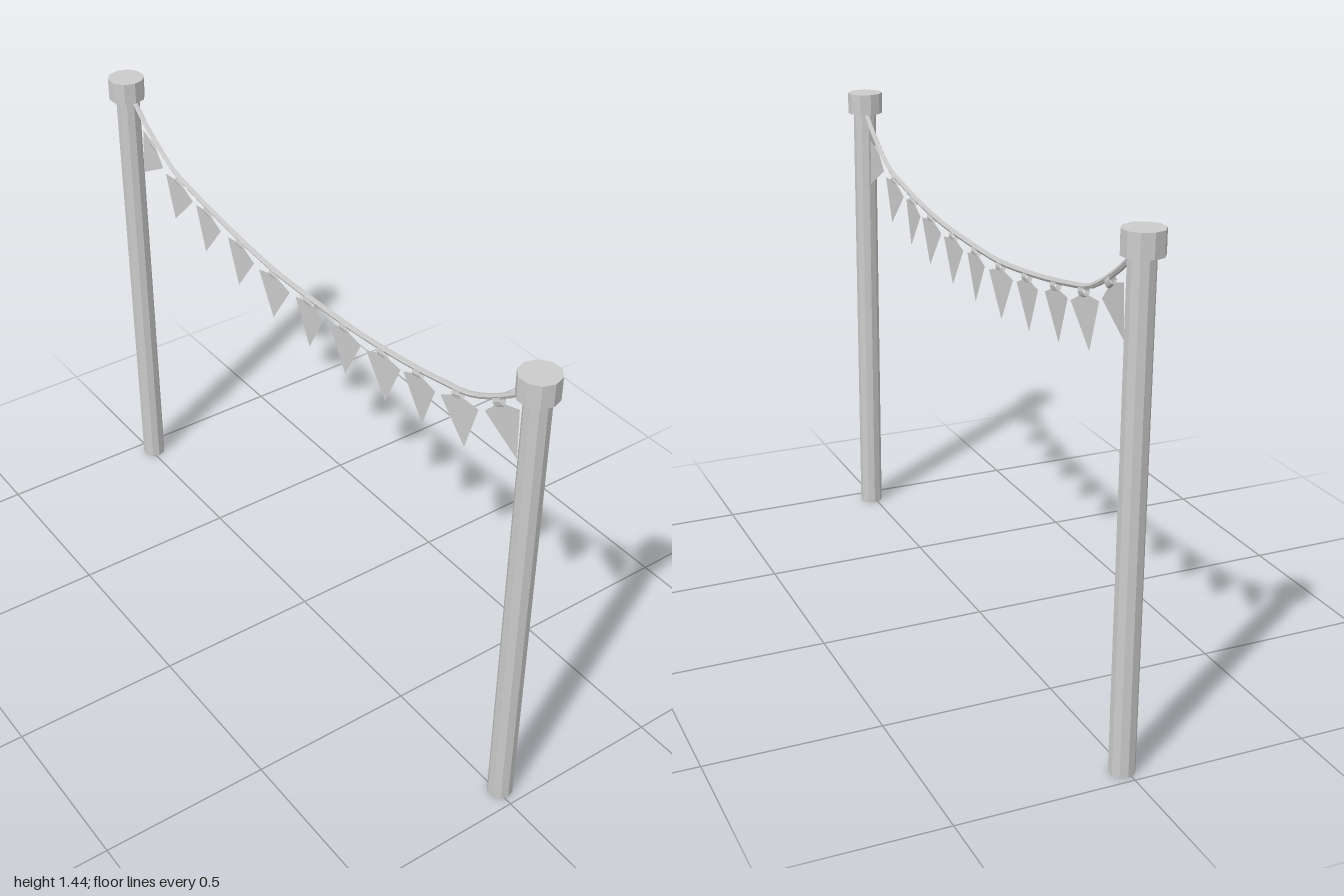
import * as THREE from 'three';

const grey = new THREE.MeshStandardMaterial({ color: 0xcccccc, flatShading: true });
const cloth = new THREE.MeshStandardMaterial({ color: 0xcccccc, flatShading: true, side: THREE.DoubleSide });

function mesh(name, geometry, material = grey) {
  const m = new THREE.Mesh(geometry, material);
  m.name = name;
  return m;
}

// Slightly leaning ten-sided post with a wider cap
function makePost(name, z, lean) {
  const post = new THREE.Group();
  post.name = name;
  const shaft = new THREE.CylinderGeometry(0.036, 0.036, 1.4, 10).translate(0, 0.7, 0);
  const p = shaft.attributes.position;
  for (let i = 0; i < p.count; i++) {
    const t = p.getY(i) / 1.4;
    p.setX(i, p.getX(i) + 0.011 * (1 - t));
    p.setZ(i, p.getZ(i) - lean * (1 - t));
  }
  shaft.computeVertexNormals();
  const cap = mesh('postCap', new THREE.CylinderGeometry(0.055, 0.055, 0.065, 10));
  cap.position.set(-0.002, 1.403, 0);
  post.add(mesh('postShaft', shaft), cap);
  post.position.z = z;
  return post;
}

// Kite-shaped pennant hung from a small loop, with its origin on the rope
function makePennant(twist) {
  const pennant = new THREE.Group();
  pennant.name = 'pennant';
  const shape = new THREE.Shape([[0, -0.162], [0.072, -0.036], [0, -0.016], [-0.072, -0.036]]
    .map(([x, y]) => new THREE.Vector2(x, y)));
  const flag = mesh('flag', new THREE.ShapeGeometry(shape), cloth);
  flag.rotation.y = Math.PI / 2 + twist;
  const loop = mesh('flagLoop', new THREE.CylinderGeometry(0.013, 0.013, 0.03, 8, 1, true), cloth);
  loop.rotation.x = Math.PI / 2;
  loop.scale.set(0.75, 1, 1.1);
  loop.position.y = -0.012;
  pennant.add(flag, loop);
  return pennant;
}

export function createModel() {
  const model = new THREE.Group();
  model.name = 'buntingBetweenPosts';
  model.add(makePost('frontPost', 0.946, 0.005), makePost('backPost', -0.945, 0.003));

  // Sagging rope
  const curve = new THREE.CatmullRomCurve3([
    [0.94, 1.4], [0.912, 1.367], [0.865, 1.324], [0.714, 1.234], [0.596, 1.206], [0.463, 1.182],
    [0.25, 1.158], [0.01, 1.149], [-0.15, 1.149], [-0.25, 1.157], [-0.446, 1.181], [-0.596, 1.206],
    [-0.7, 1.23], [-0.862, 1.324], [-0.91, 1.367], [-0.94, 1.4],
  ].map(([z, y]) => new THREE.Vector3(0.004, y, z)));
  model.add(mesh('rope', new THREE.TubeGeometry(curve, 48, 0.008, 6)));

  // Pennants hang square to the rope
  const samples = curve.getSpacedPoints(400);
  const places = [0.808, 0.663, 0.505, 0.353, 0.184, 0.016, -0.155, -0.325, -0.499, -0.653, -0.793];
  places.forEach((z, i) => {
    const k = samples.findIndex((s) => s.z <= z);
    const a = samples[k + 12], b = samples[k - 12];
    const pennant = makePennant(0.06 * Math.sin(i * 2.3));
    pennant.position.copy(samples[k]);
    pennant.rotation.x = -Math.atan2(b.y - a.y, b.z - a.z);
    model.add(pennant);
  });
  return model;
}
